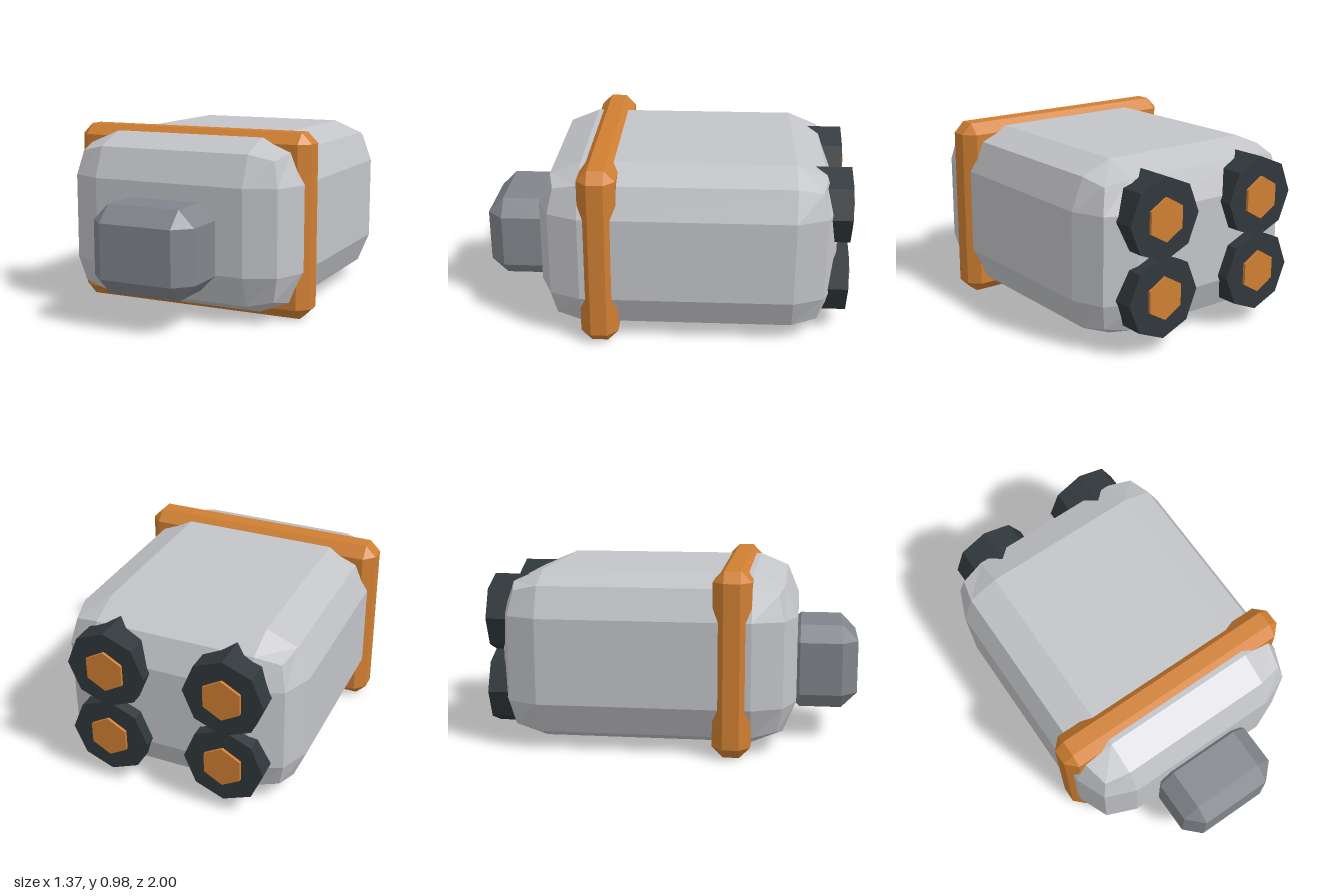
import * as THREE from 'three';
import { RoundedBoxGeometry } from 'three/addons/geometries/RoundedBoxGeometry.js';
import { ConvexGeometry } from 'three/addons/geometries/ConvexGeometry.js';

const flat = (name, color) => {
  const m = new THREE.MeshStandardMaterial({ color });
  m.name = name;
  return m;
};

// Box with every edge cut once at 45 degrees
function chamferBox(w, h, d, c) {
  const points = [];
  for (const x of [-1, 1]) for (const y of [-1, 1]) for (const z of [-1, 1]) {
    for (let axis = 0; axis < 3; axis++) {
      const inset = [c, c, c];
      inset[axis] = 0;
      points.push(new THREE.Vector3(
        x * (w / 2 - inset[0]), y * (h / 2 - inset[1]), z * (d / 2 - inset[2])));
    }
  }
  return new ConvexGeometry(points);
}

// Faceted disc lying along z, with a corner pointing up
function prism(radius, depth, sides) {
  const g = new THREE.CylinderGeometry(radius, radius, depth, sides).toNonIndexed();
  g.rotateX(Math.PI / 2);
  g.computeVertexNormals();
  return g;
}

export function createModel() {
  const lightGrey = flat('light grey hull', 0xc3c4c8);
  const midGrey = flat('mid grey', 0x82868c);
  const orange = flat('orange', 0xd07f32);
  const charcoal = flat('charcoal', 0x30373b);

  const model = new THREE.Group();
  model.name = 'capsule';
  const add = (name, geometry, material, x, y, z, parent = model) => {
    const mesh = new THREE.Mesh(geometry, material);
    mesh.name = name;
    mesh.position.set(x, y, z);
    parent.add(mesh);
  };

  // Hull with two-step faceted edges
  const hull = new RoundedBoxGeometry(1.32, 0.92, 1.59, 1, 0.231);
  hull.computeVertexNormals();
  add('hull', hull, lightGrey, 0, 0.49, -0.125);

  // Band round the hull and block on the front
  add('band', chamferBox(1.374, 0.98, 0.2, 0.057), orange, 0, 0.49, 0.338);
  add('noseBlock', chamferBox(0.574, 0.46, 0.4, 0.086), midGrey, 0, 0.405, 0.8);

  // Four thrusters at the back
  const nozzle = prism(0.215, 0.285, 8);
  const core = prism(0.113, 0.1, 6);
  for (const x of [-0.32, 0.32]) for (const y of [0.29, 0.692]) {
    const thruster = new THREE.Group();
    thruster.name = (y > 0.5 ? 'upper' : 'lower') + (x > 0 ? 'Left' : 'Right') + 'Thruster';
    thruster.position.set(x, y, 0);
    add('nozzle', nozzle, charcoal, 0, 0, -0.8425, thruster);
    add('core', core, orange, 0, 0, -0.95, thruster);
    model.add(thruster);
  }
  return model;
}
